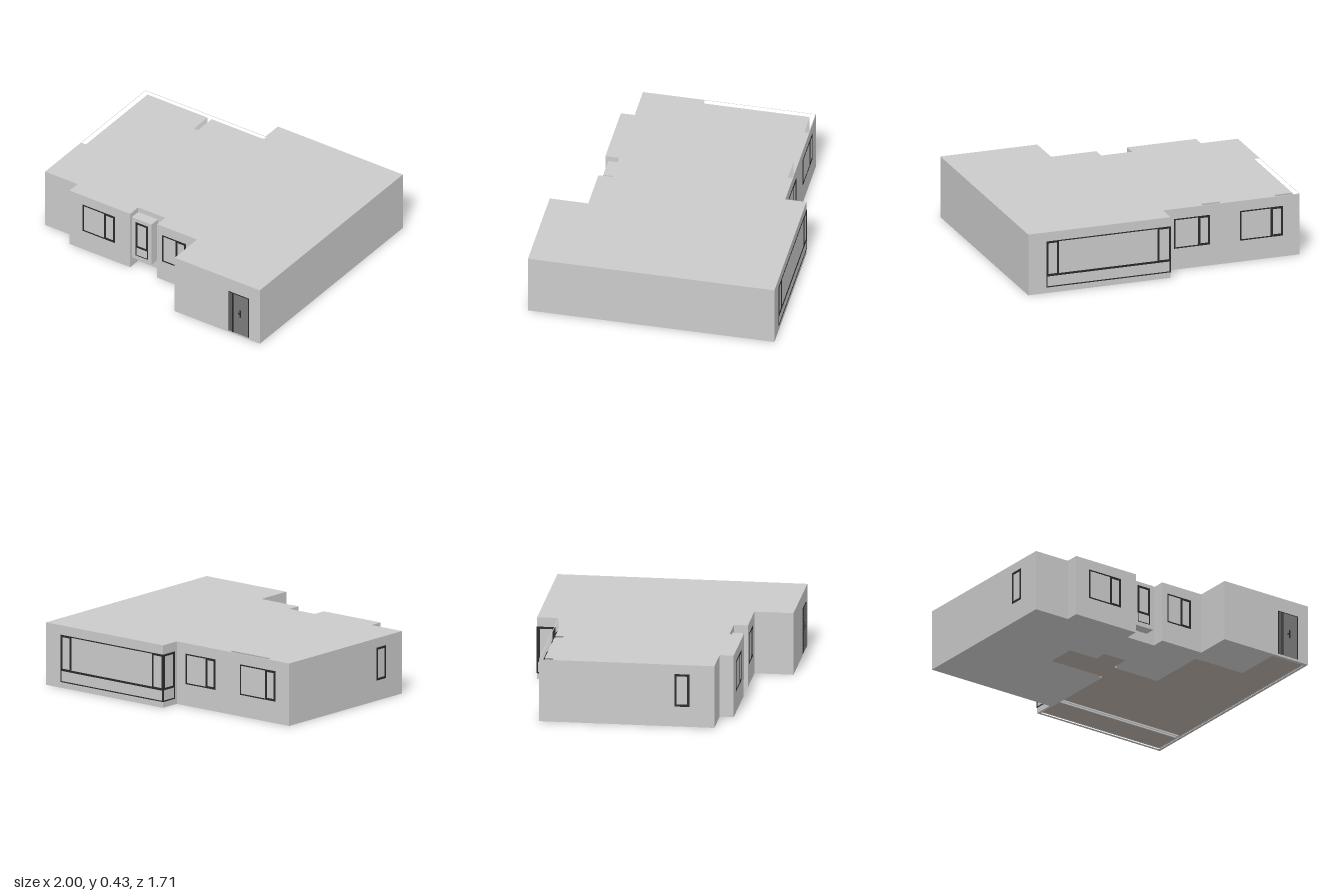
import * as THREE from 'three';

const mat = (name, color) => {
  const m = new THREE.MeshStandardMaterial({ color });
  m.name = name;
  return m;
};

export function createModel() {
  const model = new THREE.Group();
  const wall = mat('wallGrey', 0xcacaca);
  const black = mat('frameBlack', 0x2a2a2a);
  const doorGrey = mat('doorGrey', 0x7a7a7a);
  const doorDark = mat('doorDarkGrey', 0x606060);
  const brown = mat('floorBrown', 0xb6aca3);

  const add = (parent, geometry, material, name) => {
    const m = new THREE.Mesh(geometry, material);
    m.name = name;
    parent.add(m);
    return m;
  };
  const flat = pts => pts.map(([x, z]) => new THREE.Vector2(x, -z));

  // Horizontal slab of a plan outline between two heights
  function slab(name, outline, y0, y1, material, hole) {
    const shape = new THREE.Shape(flat(outline));
    if (hole) shape.holes.push(new THREE.Path(flat(hole)));
    const g = new THREE.ExtrudeGeometry(shape, { depth: y1 - y0, bevelEnabled: false });
    g.rotateX(-Math.PI / 2).translate(0, y0, 0);
    return add(model, g, material, name);
  }

  const plan = [
    [-1, -0.705], [-0.02, -0.705], [-0.02, -0.85], [1, -0.85], [1, 0.845], [0.305, 0.845],
    [0.305, 0.58], [-0.02, 0.58], [-0.02, 0.485], [-0.24, 0.485], [-0.24, 0.58],
    [-0.735, 0.58], [-0.735, 0.485], [-1, 0.485],
  ];
  // Open tops of the hollow walls
  const slot = [
    [-0.996, -0.7], [-0.016, -0.7], [-0.008, -0.688], [-0.02, -0.67], [-0.437, -0.67],
    [-0.437, -0.13], [-0.445, -0.122], [-0.462, -0.122], [-0.47, -0.13], [-0.47, -0.67],
    [-0.96, -0.67], [-0.96, 0.05], [-0.97, 0.06], [-0.996, 0.06],
  ];
  // Shallow recess under the main rooms
  const recess = [
    [0.98, -0.83], [0.98, 0.82], [0.72, 0.82], [0.72, 0.48], [0.33, 0.48], [0.33, 0.04],
    [-0.02, 0.04], [-0.02, 0.18], [-0.21, 0.18], [-0.21, 0.09], [-0.43, 0.09],
    [-0.43, -0.14], [0, -0.14], [0, -0.83],
  ];
  slab('foundation', plan, 0, 0.018, wall, recess);
  slab('walls', plan, 0.018, 0.3, wall);
  slab('roof', plan, 0.3, 0.432, wall, slot);
  slab('floorUnderside', recess, 0.012, 0.0185, brown);
  for (const z of [-0.62, -0.595]) {
    add(model, new THREE.BoxGeometry(0.96, 0.012, 0.006), wall, 'floorJoint').position.set(0.49, 0.007, z);
  }

  // Bay box in the front niche
  add(model, new THREE.BoxGeometry(0.16, 0.325, 0.08), wall, 'bay').position.set(-0.16, 0.2325, 0.52);

  // Group lying on a facade, local z pointing outward
  function facade(name, x, z, turn) {
    const g = new THREE.Group();
    g.name = name;
    g.position.set(x, 0, z);
    g.rotation.y = turn;
    model.add(g);
    return g;
  }
  const plate = (parent, name, x0, x1, y0, y1, material, front = 0.003) => {
    const m = add(parent, new THREE.BoxGeometry(x1 - x0, y1 - y0, 0.008), material, name);
    m.position.set((x0 + x1) / 2, (y0 + y1) / 2, front - 0.004);
    return m;
  };
  // Rectangular frame with an open middle
  function frame(parent, name, x0, x1, y0, y1, t) {
    const rect = (S, d) => new S([[x0 + d, y0 + d], [x1 - d, y0 + d], [x1 - d, y1 - d], [x0 + d, y1 - d]]
      .map(p => new THREE.Vector2(...p)));
    const s = rect(THREE.Shape, 0);
    s.holes.push(rect(THREE.Path, t));
    const g = new THREE.ExtrudeGeometry(s, { depth: 0.009, bevelEnabled: false });
    add(parent, g.translate(0, 0, -0.006), black, name);
  }
  // Fixed pane with a heavier opening sash at its right end
  function sashWindow(parent, x0, x1, sash, y0 = 0.15, y1 = 0.36) {
    frame(parent, 'windowFrame', x0, x1, y0, y1, 0.008);
    frame(parent, 'windowSash', x1 - sash, x1, y0, y1, 0.015);
  }

  // Front windows
  const front = facade('frontWindows', 0, 0.58, 0);
  sashWindow(front, -0.627, -0.363, 0.09);
  sashWindow(front, 0.022, 0.216, 0.086);

  // Bay window and the panel below it
  const bay = facade('bayWindow', 0, 0.56, 0);
  frame(bay, 'bayFrame', -0.21, -0.108, 0.165, 0.367, 0.014);
  frame(bay, 'bayPanel', -0.208, -0.11, 0.1, 0.17, 0.004);

  // Back windows, drawn from outside so x is reversed
  const back = facade('backWindows', 0, -0.705, Math.PI);
  sashWindow(back, 0.1, 0.357, 0.085);
  sashWindow(back, 0.573, 0.88, 0.088);

  // Wide glazing wrapping the back corner
  const wide = facade('wideWindow', 0, -0.85, Math.PI);
  frame(wide, 'wideFrame', -0.87, 0.022, 0.04, 0.367, 0.007);
  plate(wide, 'transom', -0.87, 0.02, 0.118, 0.132, black);
  frame(wide, 'endSash', -0.87, -0.78, 0.12, 0.367, 0.014);
  frame(wide, 'cornerSash', -0.075, 0.022, 0.12, 0.367, 0.014);
  const corner = facade('cornerWindow', -0.02, 0, -Math.PI / 2);
  frame(corner, 'cornerFrame', -0.852, -0.725, 0.04, 0.367, 0.008);
  frame(corner, 'cornerSideSash', -0.845, -0.73, 0.12, 0.367, 0.014);

  // Small window in the side wall
  const side = facade('sideWindow', -1, 0, -Math.PI / 2);
  frame(side, 'sideFrame', 0.215, 0.315, 0.14, 0.367, 0.015);

  // Entrance door with side light, posts and handle
  const door = facade('frontDoor', 0, 0.845, 0);
  plate(door, 'doorLeaf', 0.79, 0.91, 0.015, 0.33, doorGrey);
  plate(door, 'sideLight', 0.748, 0.79, 0.015, 0.33, doorDark);
  for (const x of [0.75, 0.78, 0.79, 0.908]) plate(door, 'doorPost', x - 0.002, x + 0.002, 0.015, 0.33, black, 0.005);
  plate(door, 'doorHead', 0.748, 0.91, 0.327, 0.331, black, 0.005);
  plate(door, 'handlePlate', 0.837, 0.848, 0.155, 0.212, black, 0.006);
  plate(door, 'handleLever', 0.826, 0.845, 0.178, 0.188, black, 0.008);
  add(model, new THREE.BoxGeometry(0.16, 0.004, 0.02), black, 'doorSill').position.set(0.83, 0.003, 0.833);

  return model;
}
